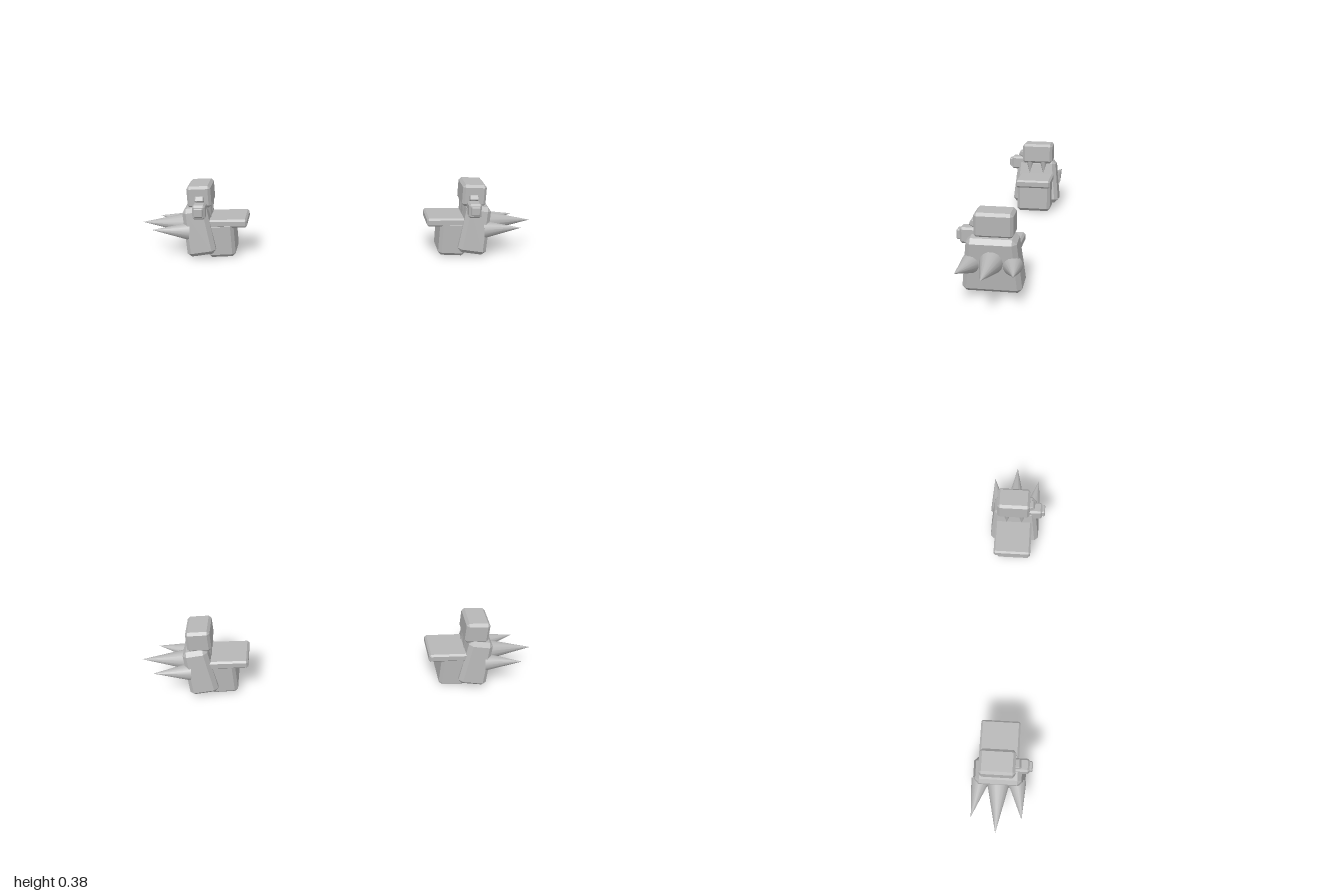
import * as THREE from 'three';
import { ConvexGeometry } from 'three/addons/geometries/ConvexGeometry.js';

const grey = new THREE.MeshStandardMaterial({ color: 0xb6b6b6 });
grey.name = 'stone grey';

// Chamfered box; top = [x, z] scale of the upper end
function chamferBox(w, h, d, bevel, top = [1, 1]) {
  const points = [];
  for (const sx of [-1, 1]) for (const sy of [-1, 1]) for (const sz of [-1, 1]) {
    for (let axis = 0; axis < 3; axis++) {
      const inset = [bevel, bevel, bevel];
      inset[axis] = 0;
      const kx = sy > 0 ? top[0] : 1, kz = sy > 0 ? top[1] : 1;
      points.push(new THREE.Vector3(
        sx * (w / 2 * kx - inset[0]),
        sy * (h / 2 - inset[1]),
        sz * (d / 2 * kz - inset[2])));
    }
  }
  return new ConvexGeometry(points);
}

// Cone running from a base centre to a tip
function spike(base, tip, radius, sides) {
  const dir = tip.clone().sub(base);
  const geo = new THREE.ConeGeometry(radius, dir.length(), sides, 1);
  geo.applyQuaternion(new THREE.Quaternion().setFromUnitVectors(
    new THREE.Vector3(0, 1, 0), dir.clone().normalize()));
  const mid = base.clone().add(tip).multiplyScalar(0.5);
  return geo.translate(mid.x, mid.y, mid.z);
}

function buildSide(s) {
  const side = new THREE.Group();
  side.name = s > 0 ? 'leftShoulder' : 'rightShoulder';

  const add = (name, geo, pos = [0, 0, 0], rot = [0, 0, 0]) => {
    const mesh = new THREE.Mesh(geo, grey);
    mesh.name = name;
    mesh.position.set(s * pos[0], pos[1], pos[2]);
    mesh.rotation.set(rot[0], s * rot[1], s * rot[2]);
    side.add(mesh);
  };
  const addSpike = (name, a, b, r, n) => add(name, spike(
    new THREE.Vector3(s * a[0], a[1], a[2]),
    new THREE.Vector3(s * b[0], b[1], b[2]), r, n));

  // Leaning outer plate, its cap, inner block and shelf
  add('outerPlate', chamferBox(0.145, 0.248, 0.264, 0.02, [0.86, 0.84]), [0.703, 0.148, -0.013], [0, 0, -0.14]);
  add('cap', chamferBox(0.12, 0.112, 0.173, 0.013), [0.695, 0.32, -0.02], [0, 0, -0.03]);
  add('innerBlock', chamferBox(0.137, 0.18, 0.19, 0.016), [0.592, 0.094, -0.014], [0, 0, -0.04]);
  add('shelf', chamferBox(0.24, 0.043, 0.196, 0.009), [0.578, 0.183, -0.018]);

  // Front fitting
  add('frontBox', chamferBox(0.064, 0.072, 0.09, 0.009), [0.69, 0.26, 0.088]);
  add('frontStud', chamferBox(0.046, 0.046, 0.04, 0.005), [0.69, 0.262, 0.128]);
  add('frontLug', chamferBox(0.044, 0.028, 0.05, 0.004), [0.69, 0.309, 0.067], [-0.5, 0, 0]);

  // Outward spikes
  addSpike('middleSpike', [0.75, 0.161, -0.014], [1, 0.168, -0.014], 0.057, 14);
  addSpike('frontSpike', [0.75, 0.147, 0.078], [0.93, 0.165, 0.108], 0.045, 14);
  addSpike('backSpike', [0.75, 0.147, -0.104], [0.93, 0.165, -0.136], 0.045, 14);

  // Small teeth under the cap on the inner face
  for (const z of [-0.055, 0.025]) {
    addSpike('tooth', [0.655, 0.272, z], [0.642, 0.205, z], 0.02, 8);
  }
  return side;
}

export function createModel() {
  const model = new THREE.Group();
  model.name = 'spikedShoulderPair';
  for (const s of [1, -1]) model.add(buildSide(s));
  return model;
}
